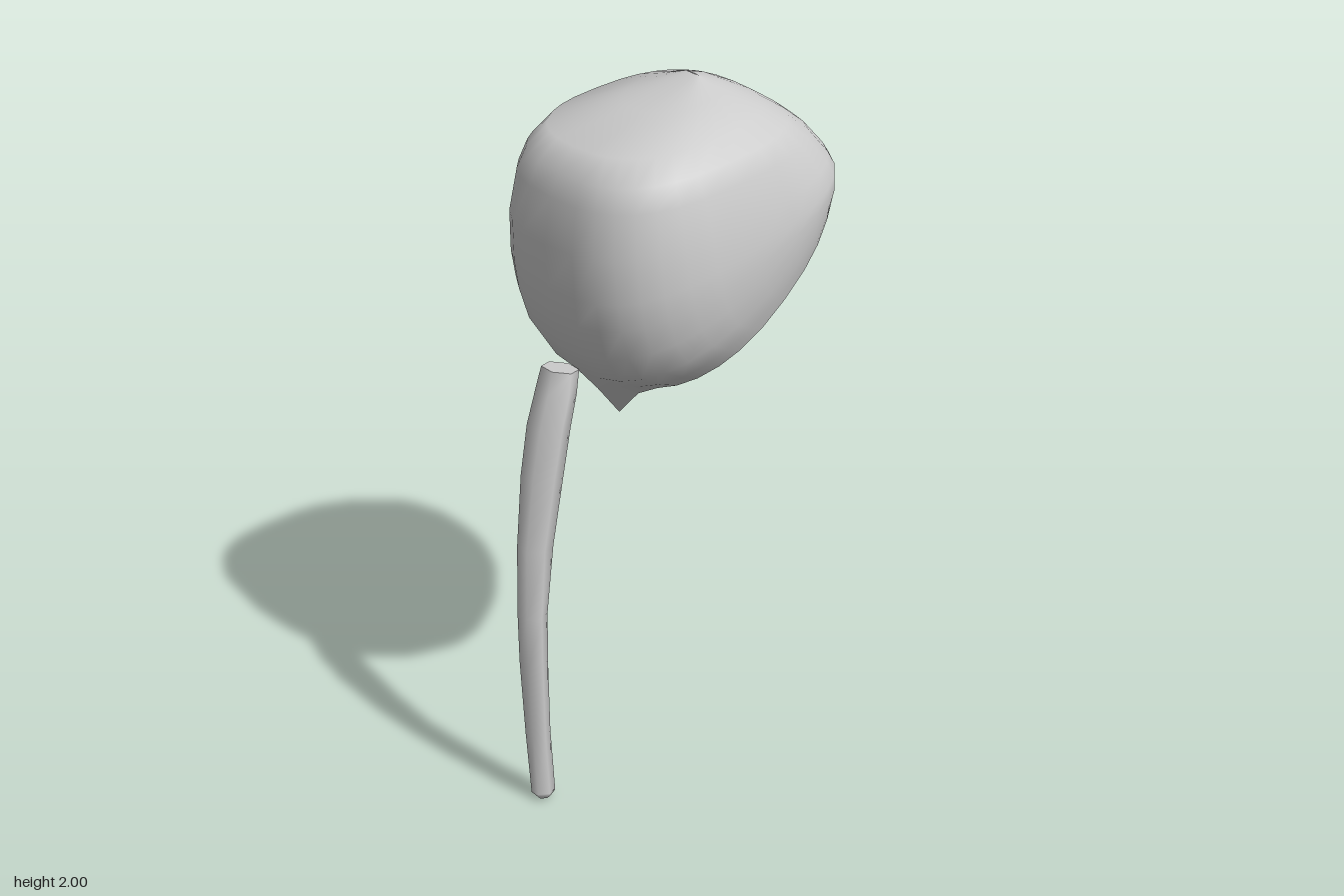
import * as THREE from 'three';

// Skin a stack of rings, top to bottom. Each ring runs between a front and a back
// point (z, y), with a half width in x and a superellipse power for its corners.
function loft(rings, sides, phase = 0, lift = () => 0) {
  const pos = [], index = [];
  rings.forEach(([fz, fy, bz, by, w, n], i) => {
    for (let j = 0; j < sides; j++) {
      const a = phase + (j / sides) * Math.PI * 2;
      const round = v => Math.sign(v) * Math.abs(v) ** (2 / n);
      const c = round(Math.cos(a)), s = round(Math.sin(a));
      pos.push(w * s, (fy + by) / 2 + ((fy - by) / 2) * c + lift(i, a), (fz + bz) / 2 + ((fz - bz) / 2) * c);
      if (i < rings.length - 1) {
        const k = (j + 1) % sides, p = i * sides, q = p + sides;
        index.push(p + j, q + j, p + k, p + k, q + j, q + k);
      }
    }
  });
  const g = new THREE.BufferGeometry();
  g.setAttribute('position', new THREE.Float32BufferAttribute(pos, 3));
  g.setIndex(index);
  g.computeVertexNormals();
  return g;
}

export function createModel() {
  const group = new THREE.Group();
  const paleGrey = new THREE.MeshStandardMaterial({ color: 0xcccccc, side: THREE.DoubleSide });
  paleGrey.name = 'paleGrey';

  // Open hood, from the crown down to the slanted rim
  const hoodRings = [
    [-0.11, 2.0, -0.112, 2.0, 0.025, 2],
    [0.08, 1.945, -0.175, 1.982, 0.12, 2.2],
    [0.27, 1.89, -0.25, 1.948, 0.245, 2.6],
    [0.315, 1.83, -0.31, 1.91, 0.29, 2.8],
    [0.34, 1.77, -0.37, 1.865, 0.315, 2.8],
    [0.36, 1.65, -0.43, 1.80, 0.34, 2.8],
    [0.355, 1.53, -0.45, 1.77, 0.35, 2.8],
    [0.345, 1.45, -0.455, 1.755, 0.352, 2.7],
    [0.32, 1.36, -0.46, 1.745, 0.35, 2.6],
    [0.27, 1.28, -0.46, 1.735, 0.342, 2.5],
    [0.20, 1.20, -0.46, 1.728, 0.332, 2.4],
    [0.13, 1.11, -0.458, 1.72, 0.318, 2.3],
  ];
  // The rim arches up on both sides of its pointed tip
  const last = hoodRings.length - 1;
  const rimLift = (i, a) => {
    const share = i === last ? 1 : i === last - 1 ? 0.4 : 0;
    return share * 0.1 * Math.min(1, 4 * Math.abs(Math.sin(a))) * (1 + Math.cos(a)) / 2;
  };
  const hood = new THREE.Mesh(loft(hoodRings, 32, 0, rimLift), paleGrey);
  hood.name = 'hood';
  group.add(hood);

  // Curved six-sided stem: z, y, half depth, half width, forward rise of the ring
  const stemRows = [
    [0.32, 1.295, 0, 0, 0],
    [0.32, 1.295, 0.043, 0.048, 0.01],
    [0.32, 1.295, 0.043, 0.048, 0.01],
    [0.335, 1.23, 0.046, 0.056, 0.01],
    [0.36, 1.14, 0.049, 0.058, 0.01],
    [0.385, 1.0, 0.049, 0.054, 0.008],
    [0.412, 0.8, 0.043, 0.044, 0.004],
    [0.426, 0.6, 0.034, 0.043, 0],
    [0.426, 0.45, 0.032, 0.042, 0],
    [0.418, 0.22, 0.029, 0.036, 0],
    [0.405, 0.025, 0.029, 0.032, 0],
    [0.405, 0.018, 0.029, 0.032, 0],
    [0.405, 0.003, 0.016, 0.018, 0],
    [0.405, 0, 0, 0, 0],
  ];
  const flat = Math.cos(Math.PI / 6);
  const stemRings = stemRows.map(([z, y, d, w, t]) =>
    [z + d / flat, y + t, z - d / flat, y - t, w, 2]);
  const stem = new THREE.Mesh(loft(stemRings, 6, Math.PI / 6), paleGrey);
  stem.name = 'stem';
  group.add(stem);

  return group;
}
